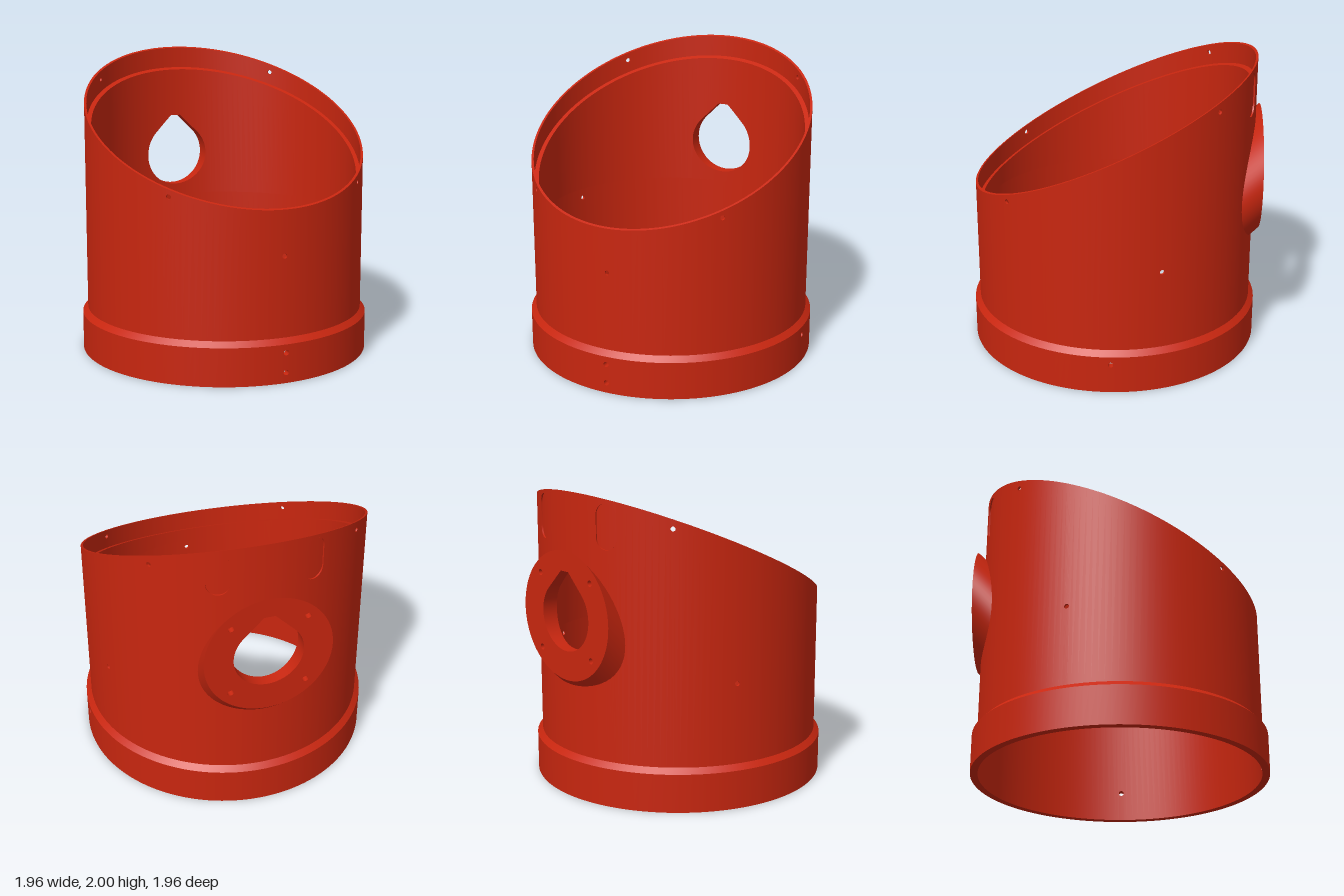
import * as THREE from 'three';
import { toCreasedNormals } from 'three/addons/utils/BufferGeometryUtils.js';

const SEG = 144, PI = Math.PI;
const BASE_R = 0.98, TUBE_R = 0.945, BORE_R = 0.93, NECK_R = 0.9;
const BOSS_Z = -0.98, BOSS_Y = 1.207, BOSS_R = 0.4225;
const deg = (a) => a * PI / 180;

// Point on a cylinder; angle 0 faces the front, 90 degrees is +x
const at = (r, t, y) => new THREE.Vector3(r * Math.sin(t), y, r * Math.cos(t));
// Heights of the slanted top and of the parallel ledge inside it
const flat = (y) => () => y;
const topY = (z) => 1.558 - 0.467 * z;
const ledgeY = (z) => 1.415 - 0.467 * z;

// A cut through a wall: rounded outline, h = half height, w = half width
function slotCut(angle, y, w, h = w, n = 12) {
  const half = (d) => h - w + Math.sqrt(Math.max(0, w * w - d * d));
  return { a: deg(angle), w, n, y, lo: (d) => y - half(d), hi: (d) => y + half(d) };
}
// Teardrop opening: round below, 45 degree sides and a flat tip above
function teardropCut(angle, y, w) {
  const round = (d) => Math.sqrt(Math.max(0, w * w - d * d));
  const hi = (d) => y + (Math.abs(d) > w * Math.SQRT1_2 ? round(d) : Math.min(0.289, w * Math.SQRT2 - Math.abs(d)));
  return { a: deg(angle), w, n: 40, y, lo: (d) => y - round(d), hi };
}
const steps = (c) => Array.from({ length: c.n + 1 }, (_, i) => -c.w * Math.cos(PI * i / c.n));
// Closed outline of a cut as [offset, height] pairs
function outline(c) {
  const ds = steps(c);
  return [...ds.map((d) => [d, c.lo(d)]), ...ds.slice().reverse().map((d) => [d, c.hi(d)])];
}
const onWall = (c, r, pts) => pts.map(([d, y]) => at(r, c.a + Math.asin(d / r), y));

// Surface between two point rows
function loft(a, b, closed = true) {
  const pos = [], n = a.length;
  for (let i = 0; i < (closed ? n : n - 1); i++) {
    const j = (i + 1) % n;
    for (const p of [a[i], a[j], b[j], a[i], b[j], b[i]]) pos.push(p.x, p.y, p.z);
  }
  const g = new THREE.BufferGeometry();
  g.setAttribute('position', new THREE.Float32BufferAttribute(pos, 3));
  return toCreasedNormals(g, 0.5);
}

function circle(r, yOf) {
  return Array.from({ length: SEG }, (_, i) => {
    const t = 2 * PI * i / SEG;
    return at(r, t, yOf(r * Math.cos(t)));
  });
}
const ring = (r1, y1, r2, y2) => loft(circle(r1, y1), circle(r2, y2));

// Cylindrical wall made of upright columns that skip the cuts; dir -1 faces inward
function wall(r, bottom, top, cuts, dir) {
  const angles = Array.from({ length: SEG + 1 }, (_, i) => 2 * PI * i / SEG);
  for (const c of cuts) {
    for (const d of steps(c)) angles.push((c.a + Math.asin(d / r) + 2 * PI) % (2 * PI));
  }
  angles.sort((p, q) => p - q);
  const pos = [], nor = [];
  for (let i = 0; i + 1 < angles.length; i++) {
    const t0 = angles[i], t1 = angles[i + 1], mid = (t0 + t1) / 2;
    if (t1 - t0 < 1e-7) continue;
    const hit = cuts
      .filter((c) => Math.cos(mid - c.a) > 0 && Math.abs(r * Math.sin(mid - c.a)) < c.w)
      .sort((p, q) => p.y - q.y);
    const levels = (t) => [
      bottom(r * Math.cos(t)),
      ...hit.flatMap((c) => {
        const d = THREE.MathUtils.clamp(r * Math.sin(t - c.a), -c.w, c.w);
        return [c.lo(d), c.hi(d)];
      }),
      top(r * Math.cos(t)),
    ];
    const l0 = levels(t0), l1 = levels(t1);
    for (let k = 0; k < l0.length; k += 2) {
      const quad = [[t0, l0[k]], [t1, l1[k]], [t1, l1[k + 1]], [t0, l0[k + 1]]];
      for (const q of dir > 0 ? [0, 1, 2, 0, 2, 3] : [0, 2, 1, 0, 3, 2]) {
        const [t, y] = quad[q];
        pos.push(...at(r, t, y).toArray());
        nor.push(dir * Math.sin(t), 0, dir * Math.cos(t));
      }
    }
  }
  const g = new THREE.BufferGeometry();
  g.setAttribute('position', new THREE.Float32BufferAttribute(pos, 3));
  g.setAttribute('normal', new THREE.Float32BufferAttribute(nor, 3));
  return g;
}

export function createModel() {
  const model = new THREE.Group();
  const red = new THREE.MeshStandardMaterial({ color: 0xc8260f, side: THREE.DoubleSide });
  red.name = 'red';
  const add = (name, geometry) => {
    const mesh = new THREE.Mesh(geometry, red);
    mesh.name = name;
    model.add(mesh);
    return mesh;
  };

  // Openings
  const baseHoles = [slotCut(0, 0.07, 0.018), slotCut(0, 0.2, 0.018), slotCut(90, 0.2, 0.018)];
  const sideHoles = [0, 110, 250].map((a) => slotCut(a, 0.82, 0.016));
  const rimHoles = [[45, 1.2], [315, 1.2], [135, 1.81], [225, 1.81]].map(([a, y]) => slotCut(a, y, 0.016));
  const slots = [161, 199].map((a) => slotCut(a, 1.805, 0.073, 0.145, 16));
  const port = teardropCut(180, BOSS_Y, 0.23);

  // Base collar
  add('baseCollar', wall(BASE_R, flat(0), flat(0.255), baseHoles, 1));
  add('baseChamfer', ring(BASE_R, flat(0.255), TUBE_R, flat(0.29)));
  add('bottomRim', ring(BORE_R, flat(0), BASE_R, flat(0)));

  // Tube with slanted top, stepped inside
  add('outerWall', wall(TUBE_R, flat(0.29), topY, [...sideHoles, ...rimHoles, ...slots, port], 1));
  add('lowerInnerWall', wall(BORE_R, flat(0), flat(0.9), [...baseHoles, ...sideHoles], -1));
  add('lowerLedge', ring(NECK_R, flat(0.9), BORE_R, flat(0.9)));
  add('middleInnerWall', wall(NECK_R, flat(0.9), ledgeY, [port], -1));
  add('upperLedge', ring(BORE_R, ledgeY, NECK_R, ledgeY));
  add('upperInnerWall', wall(BORE_R, ledgeY, topY, rimHoles, -1));
  add('topRim', ring(TUBE_R, topY, BORE_R, topY));

  // Screw hole sides
  const bore = (c, rOut, rIn) => loft(onWall(c, rOut, outline(c)), onWall(c, rIn, outline(c)));
  baseHoles.forEach((c) => add('baseScrewHole', bore(c, BASE_R, BORE_R)));
  [...sideHoles, ...rimHoles].forEach((c) => add('wallScrewHole', bore(c, TUBE_R, BORE_R)));

  // Shallow slots near the top of the back
  for (const c of slots) {
    const floor = 0.935, ds = steps(c);
    add('slotEdge', bore(c, TUBE_R, floor));
    add('slotFloor', loft(
      onWall(c, floor, ds.map((d) => [d, c.lo(d)])),
      onWall(c, floor, ds.map((d) => [d, c.hi(d)])), false));
  }

  // Round mounting boss on the back, its side rising at 45 degrees
  const face = Array.from({ length: 72 }, (_, i) => {
    const t = 2 * PI * i / 72;
    return new THREE.Vector3(-BOSS_R * Math.cos(t), BOSS_Y + BOSS_R * Math.sin(t), BOSS_Z);
  });
  const foot = face.map((p) => {
    const z = -Math.sqrt(0.943 ** 2 - p.x ** 2);
    return new THREE.Vector3(p.x, p.y - (z - BOSS_Z), z);
  });
  add('bossSide', loft(foot, face));

  const plate = new THREE.Shape(face.map((p) => new THREE.Vector2(-p.x, p.y)));
  plate.holes.push(new THREE.Path(outline(port).slice(0, -1).map(([d, y]) => new THREE.Vector2(d, y))));
  for (const sx of [-1, 1]) {
    for (const sy of [-1, 1]) {
      const x = sx * 0.248, y = BOSS_Y + sy * 0.248, r = 0.02, depth = 0.04;
      plate.holes.push(new THREE.Path().absarc(x, y, r, 0, 2 * PI, true));
      const side = add('bossScrewHole', new THREE.CylinderGeometry(r, r, depth, 24, 1, true).rotateX(PI / 2));
      side.position.set(x, y, BOSS_Z + depth / 2);
      const end = add('bossScrewHoleEnd', new THREE.CircleGeometry(r, 24).rotateY(PI));
      end.position.set(x, y, BOSS_Z + depth);
    }
  }
  add('bossFace', new THREE.ShapeGeometry(plate, 12).rotateY(PI)).position.z = BOSS_Z;

  // Teardrop port through boss and wall
  const portFace = outline(port).map(([d, y]) => new THREE.Vector3(-d, y, BOSS_Z));
  add('portSide', loft(portFace, onWall(port, NECK_R, outline(port))));

  return model;
}
